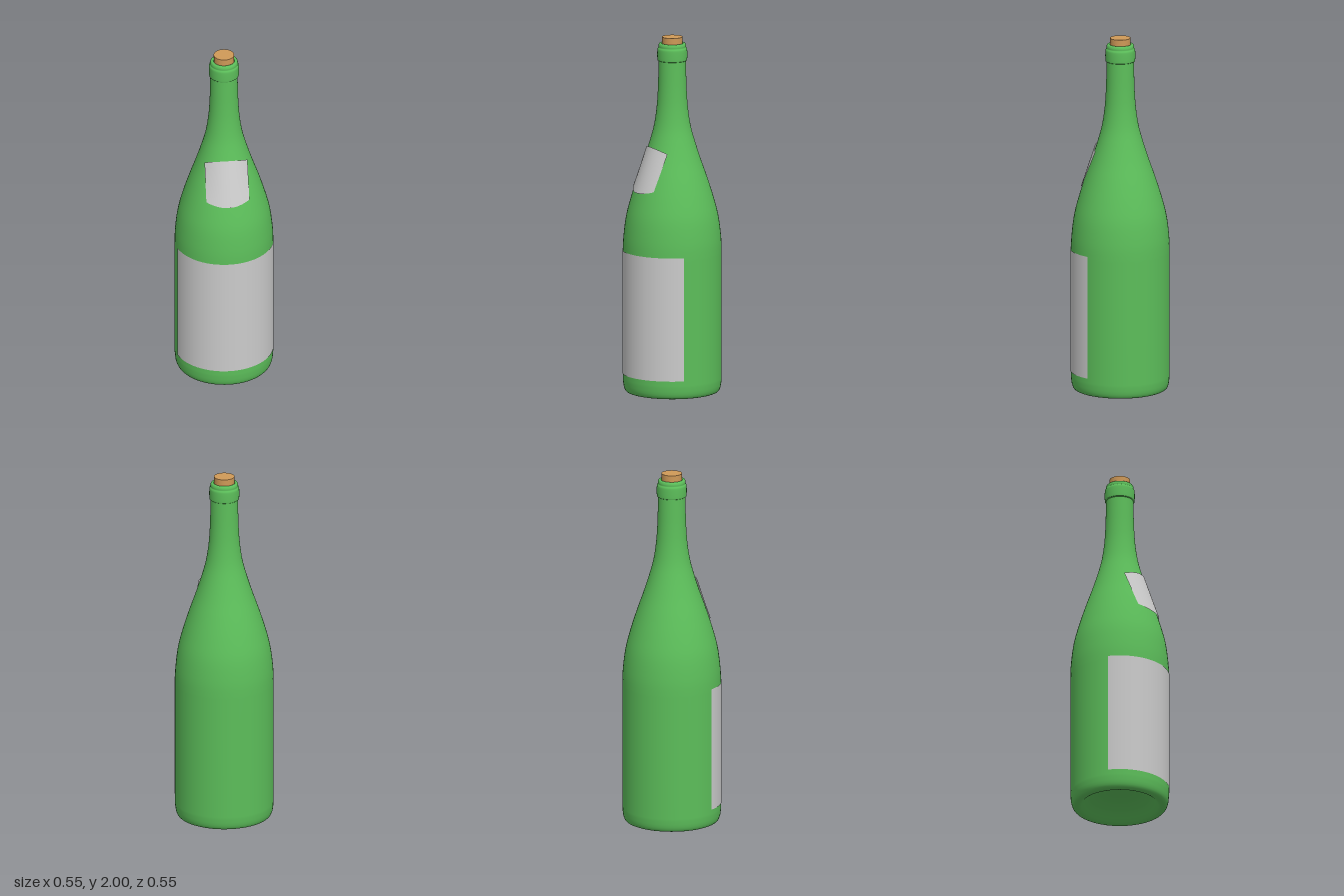
import * as THREE from 'three';

const SEGMENTS = 64;
const CENTRE_Z = -0.0015; // balances the label thickness at the front

const v2 = (p) => new THREE.Vector2(p[0], p[1]);
const smooth = (pts, n) => new THREE.SplineCurve(pts.map(v2)).getPoints(n);

function addMesh(group, name, geometry, color, side = THREE.FrontSide) {
  const mesh = new THREE.Mesh(geometry, new THREE.MeshStandardMaterial({ color, side }));
  mesh.name = name;
  group.add(mesh);
  return mesh;
}

// Glass outline from the hollow base up to the top of the neck
function glassProfile() {
  const punt = smooth([[0, 0.1], [0.09, 0.088], [0.165, 0.052], [0.215, 0.008], [0.235, 0]], 16);
  const heel = smooth([[0.245, 0], [0.26, 0.008], [0.27, 0.035], [0.274, 0.08]], 8);
  const shoulder = smooth([
    [0.274, 0.78], [0.271, 0.87], [0.256, 0.99], [0.228, 1.1], [0.193, 1.21],
    [0.158, 1.31], [0.126, 1.41], [0.102, 1.5], [0.087, 1.6], [0.08, 1.7],
    [0.077, 1.8], [0.075, 1.9],
  ], 48);
  return [...punt, ...heel, ...shoulder];
}

// Rounded collar around the mouth, turning in to meet the cork
function lipProfile() {
  return smooth([
    [0.072, 1.866], [0.08, 1.868], [0.083, 1.877], [0.083, 1.925], [0.08, 1.937],
    [0.077, 1.942], [0.077, 1.952], [0.073, 1.962], [0.066, 1.965], [0.058, 1.962], [0.054, 1.94],
  ], 40);
}

// Curved patch interpolated between a lower and an upper arc
function shoulderLabel() {
  const half = 0.12;
  const geometry = new THREE.PlaneGeometry(2, 1, 24, 8);
  const pos = geometry.attributes.position;
  const lerp = THREE.MathUtils.lerp;
  for (let i = 0; i < pos.count; i++) {
    const u = pos.getX(i);
    const t = pos.getY(i) + 0.5;
    const bend = u * u;
    const y = lerp(1.137 + 0.02 * bend, 1.39 - 0.026 * bend, t);
    const z = lerp(0.223 - 0.044 * bend, 0.138 - 0.046 * bend, t);
    pos.setXYZ(i, u * half, y, z + 0.002);
  }
  geometry.computeVertexNormals();
  return geometry;
}

export function createModel() {
  const bottle = new THREE.Group();
  bottle.name = 'bottle';
  const green = 0x5cbe5a;

  addMesh(bottle, 'glassBody', new THREE.LatheGeometry(glassProfile(), SEGMENTS), green);
  addMesh(bottle, 'lip', new THREE.LatheGeometry(lipProfile(), SEGMENTS), green);

  // Cork
  const cork = addMesh(bottle, 'cork', new THREE.CylinderGeometry(0.057, 0.055, 0.1, 48), 0xd09a58);
  cork.position.y = 1.95;

  // Wrapped front label
  const arc = 1.315;
  const label = addMesh(
    bottle, 'frontLabel',
    new THREE.CylinderGeometry(0.277, 0.277, 0.695, 56, 1, true, -arc, arc * 2),
    0xcccccc, THREE.DoubleSide,
  );
  label.position.y = 0.4525;

  addMesh(bottle, 'shoulderLabel', shoulderLabel(), 0xcccccc, THREE.DoubleSide);

  bottle.position.z = CENTRE_Z;
  const model = new THREE.Group();
  model.add(bottle);
  return model;
}
